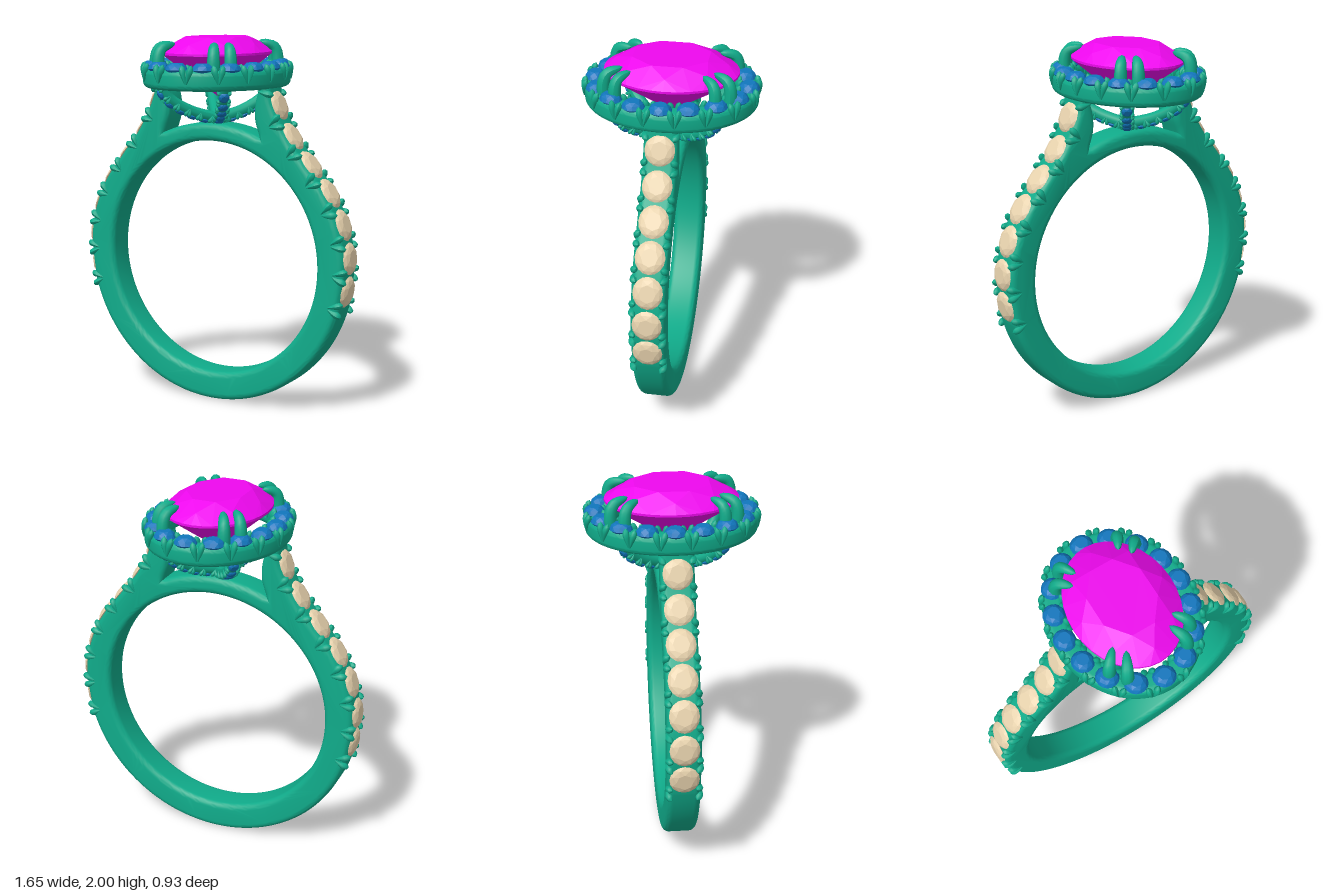
import * as THREE from 'three';
import { toCreasedNormals } from 'three/addons/utils/BufferGeometryUtils.js';
import { ConvexGeometry } from 'three/addons/geometries/ConvexGeometry.js';

const V = (x, y, z = 0) => new THREE.Vector3(x, y, z);
const UP = V(0, 1, 0);
const paint = (color, flatShading = false) => new THREE.MeshStandardMaterial({ color, flatShading });
const metal = paint(0x10ab8a);
const magenta = paint(0xee08ee, true);
const blue = paint(0x1176bd, true);
const cream = paint(0xe8d3ae, true);

function add(parent, name, geometry, material) {
  const mesh = new THREE.Mesh(geometry, material);
  mesh.name = name;
  parent.add(mesh);
  return mesh;
}

function subGroup(parent, name) {
  const g = new THREE.Group();
  g.name = name;
  parent.add(g);
  return g;
}

// Faceted stone from rings of [radius, height, sides, turn]
function gem(rings, sx = 1, sz = 1) {
  const pts = [];
  for (const [r, y, n, turn = 0] of rings)
    for (let i = 0; i < n; i++) {
      const a = ((i + turn) / n) * Math.PI * 2;
      pts.push(V(r * Math.cos(a) * sx, y, r * Math.sin(a) * sz));
    }
  return new ConvexGeometry(pts);
}
const smallGem = gem([[0.55, 1, 8], [0.85, 0.6, 8, 0.5], [1, 0, 16], [0, -1.6, 1]]);

// Tube whose radius follows a rule along its length
function taperedTube(curve, radius, segments = 8, sides = 8) {
  const geo = new THREE.TubeGeometry(curve, segments, 1, sides);
  const p = geo.attributes.position, v = V(0, 0);
  for (let i = 0; i < p.count; i++) {
    const t = Math.floor(i / (sides + 1)) / segments;
    const c = curve.getPointAt(t);
    v.fromBufferAttribute(p, i).sub(c).multiplyScalar(radius(t)).add(c);
    p.setXYZ(i, v.x, v.y, v.z);
  }
  geo.computeVertexNormals();
  return geo;
}

// Teardrop profile: pointed root, round tip
const teardrop = (r) => (t) => Math.max(1e-4, r * Math.sqrt(Math.max(0, 1 - t ** 5)) * Math.min(1, 0.15 + 1.3 * t));

// Row of stones along a curve, held by V-shaped pairs of claws on both edges
function pave(parent, curve, sideOf, o) {
  const frame = (u) => {
    const P = curve.getPointAt(u), T = curve.getTangentAt(u), B = sideOf(T);
    return { P, T, B, N: T.clone().cross(B).normalize() };
  };
  for (let i = 0; i < o.count; i++) {
    const { P, T, B, N } = frame((i + 0.5) / o.count);
    const m = add(parent, 'paveStone', smallGem, o.material);
    m.quaternion.setFromRotationMatrix(new THREE.Matrix4().makeBasis(T, N, B.clone().negate()));
    m.position.copy(P);
    m.scale.set(o.length, o.height, o.width);
  }
  for (let i = 0; i < o.count + (o.closed ? 0 : 1); i++) {
    const { P, T, B, N } = frame(i / o.count);
    for (const s of [-1, 1])
      for (const t of [-1, 1]) {
        const at = (b, n, d) => P.clone().addScaledVector(B, s * b).addScaledVector(N, n).addScaledVector(T, t * d);
        const path = new THREE.QuadraticBezierCurve3(
          at(o.edge, -o.drop, 0.1 * o.spread),
          at(o.edge * 1.04, -o.drop * 0.2, 0.7 * o.spread),
          at(o.edge * 0.76, o.height * 0.8, o.spread));
        add(parent, 'beadClaw', taperedTube(path, teardrop(o.claw), 8, 7), metal);
      }
  }
}

// Flat outline extruded with rounded edges
function roundedPlate(shape, depth, bevel) {
  const geo = new THREE.ExtrudeGeometry(shape, {
    depth: depth - 2 * bevel, bevelEnabled: true, bevelSize: bevel, bevelThickness: bevel,
    bevelOffset: -bevel, bevelSegments: 6, curveSegments: 96,
  });
  geo.translate(0, 0, bevel - depth / 2);
  return toCreasedNormals(geo, 0.6);
}

export function createModel() {
  const ring = new THREE.Group();
  ring.name = 'ring';

  // Band: lower hoop, rising shoulders and the bridge under the head
  const shoulder = new THREE.CatmullRomCurve3([
    V(0.775, 0.6), V(0.8, 0.84), V(0.767, 1.02), V(0.69, 1.19),
    V(0.58, 1.335), V(0.45, 1.505), V(0.37, 1.67), V(0.352, 1.76)]);
  const inner = new THREE.CatmullRomCurve3([
    V(0.3, 1.76), V(0.27, 1.66), V(0.268, 1.57), V(0.297, 1.478)]);
  const arc = (r, a, b, n) => Array.from({ length: n + 1 }, (_, i) => {
    const t = a + ((b - a) * i) / n;
    return V(r * Math.cos(t), 0.8 + r * Math.sin(t));
  });
  const half = [
    ...arc(0.8, -Math.PI / 2, -0.27, 36),
    ...shoulder.getPoints(48),
    ...inner.getPoints(14),
    ...arc(0.74, 1.17, Math.PI / 2, 12),
  ];
  const mirrored = half.slice(1, -1).reverse().map((p) => V(-p.x, p.y));
  const outline = new THREE.Shape([...half, ...mirrored].map((p) => new THREE.Vector2(p.x, p.y)));
  outline.holes.push(new THREE.Path().absarc(0, 0.8, 0.643, 0, Math.PI * 2, true));
  add(ring, 'band', roundedPlate(outline, 0.176, 0.034), metal);

  // Stones along both shoulders
  for (const s of [1, -1]) {
    const row = subGroup(ring, s > 0 ? 'leftShoulderStones' : 'rightShoulderStones');
    const path = new THREE.CatmullRomCurve3(
      shoulder.getPoints(24).slice(0, -1).map((p) => V(p.x * s, p.y)));
    pave(row, path, () => V(0, 0, s), {
      count: 7, material: cream, length: 0.086, width: 0.078, height: 0.022,
      edge: 0.084, drop: 0.062, spread: 0.034, claw: 0.021,
    });
  }

  // Oval halo with its stones
  const halo = subGroup(ring, 'halo');
  const oval = new THREE.Shape().absellipse(0, 0, 0.375, 0.452, 0, Math.PI * 2);
  oval.holes.push(new THREE.Path().absellipse(0, 0, 0.262, 0.34, 0, Math.PI * 2, true));
  const haloRing = add(halo, 'haloRing', roundedPlate(oval, 0.105, 0.03), metal);
  haloRing.rotation.x = -Math.PI / 2;
  haloRing.position.y = 1.7875;
  const haloPoints = Array.from({ length: 64 }, (_, i) => {
    const a = ((i + 2) / 64) * Math.PI * 2;
    return V(0.322 * Math.cos(a), 1.842, 0.4 * Math.sin(a));
  });
  pave(halo, new THREE.CatmullRomCurve3(haloPoints, true), (T) => UP.clone().cross(T).normalize(), {
    count: 16, closed: true, material: blue, length: 0.06, width: 0.057, height: 0.034,
    edge: 0.055, drop: 0.07, spread: 0.026, claw: 0.019,
  });

  // Centre stone
  const centre = gem([
    [0.6, 2, 8, 0.5], [0.83, 1.964, 8], [1, 1.92, 32], [1, 1.908, 32],
    [0.6, 1.815, 8, 0.5], [0, 1.68, 1]], 0.272, 0.35);
  add(ring, 'centreStone', centre, magenta);

  // Four diagonal basket struts and the paired claws above them
  for (const sx of [1, -1])
    for (const sz of [1, -1]) {
      const basket = subGroup(ring, 'basketStrut');
      const rail = (f, y) => V(0.2 * f * sx, y, 0.27 * f * sz);
      const strut = new THREE.CatmullRomCurve3([
        rail(0.98, 1.76), rail(0.84, 1.68), rail(0.48, 1.607), rail(0, 1.56)]);
      add(basket, 'strut', taperedTube(strut, () => 0.031, 20, 12), metal);

      const across = UP.clone().cross(V(0.2 * sx, 0, 0.27 * sz)).normalize();
      const face = new THREE.CatmullRomCurve3(strut.getPoints(12).slice(1, -1).map((p, i) => {
        const T = strut.getTangent((i + 1) / 12);
        return p.addScaledVector(T.cross(across).normalize(), 0.026);
      }));
      pave(basket, face, () => across, {
        count: 5, material: blue, length: 0.03, width: 0.028, height: 0.014,
        edge: 0.031, drop: 0.03, spread: 0.014, claw: 0.011,
      });

      for (const angle of [0.71, 0.98]) {
        const at = (f, y) => V(0.27 * f * Math.cos(angle) * sx, y, 0.35 * f * Math.sin(angle) * sz);
        const path = new THREE.CatmullRomCurve3([
          at(1.06, 1.77), at(1.12, 1.86), at(1.06, 1.94), at(0.8, 1.968)]);
        const thickness = (t) => Math.max(1e-4, 0.034 * Math.sqrt(1 - t ** 3));
        add(basket, 'claw', taperedTube(path, thickness, 16, 10), metal);
      }
    }

  return ring;
}
